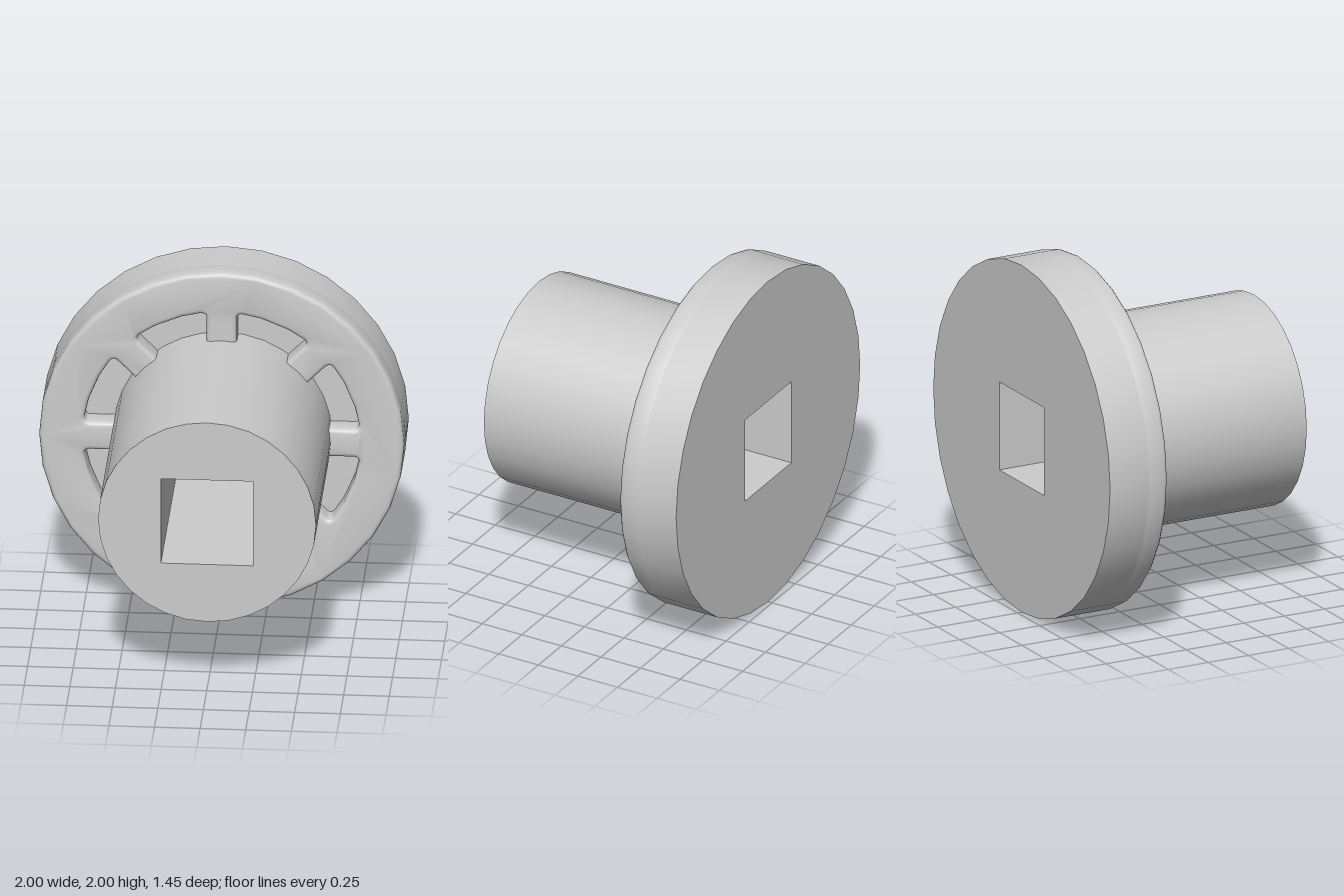
import * as THREE from 'three';
import { toCreasedNormals } from 'three/addons/utils/BufferGeometryUtils.js';

const SIDES = 32;
const BACK = -0.725, FLOOR = -0.48, FACE = -0.362, FRONT = 0.725;

const polar = (r, a) => new THREE.Vector2(r * Math.cos(a), r * Math.sin(a));

// regular polygon outline standing in for a circle
function circlePoints(r) {
  return Array.from({ length: SIDES }, (_, i) => polar(r, (i / SIDES) * Math.PI * 2));
}

function squareHole(h) {
  return new THREE.Path([[-h, -h], [-h, h], [h, h], [h, -h]].map(([x, y]) => new THREE.Vector2(x, y)));
}

// one pocket outline between two neighbouring ribs, with rounded outer corners
function pocketHole(index) {
  const outer = 0.76, inner = 0.55, halfRib = 0.083, round = 0.035;
  const sector = Math.PI / 4;
  const edge = (r) => Math.asin(halfRib / r);
  const half = [polar(inner, edge(inner))];
  const a = polar(outer - round, edge(outer - round));
  const corner = polar(outer, edge(outer));
  const b = polar(outer, edge(outer) + round / outer);
  half.push(...new THREE.QuadraticBezierCurve(a, corner, b).getPoints(5));
  half.push(polar(outer, sector * 0.37));
  // mirror about the middle of the sector
  const mirrored = half.map((p) => polar(p.length(), sector - p.angle())).reverse();
  const pts = [...half, ...mirrored].map((p) => polar(p.length(), p.angle() + index * sector));
  return new THREE.Path(pts);
}

function extrudePart(name, radius, holes, z0, z1, bevel = 0) {
  const shape = new THREE.Shape(circlePoints(radius));
  shape.holes.push(...holes);
  const geo = new THREE.ExtrudeGeometry(shape, {
    depth: z1 - z0 - 2 * bevel,
    bevelEnabled: bevel > 0,
    bevelSize: bevel,
    bevelThickness: bevel,
    bevelOffset: -bevel,
    bevelSegments: 3,
  });
  geo.translate(0, 0, z0 + bevel);
  const mesh = new THREE.Mesh(
    toCreasedNormals(geo, 0.55),
    new THREE.MeshStandardMaterial({ color: 0xcccccc })
  );
  mesh.name = name;
  mesh.position.y = 1;
  return mesh;
}

export function createModel() {
  const group = new THREE.Group();
  group.name = 'flangedHub';

  // solid disc behind the pockets
  group.add(extrudePart('flangeBack', 1, [squareHole(0.253)], BACK, FLOOR));

  // ribbed front layer; its rear bevel is sunk into the disc
  const bevel = 0.025;
  const holes = [new THREE.Path(circlePoints(0.44).reverse())];
  for (let i = 0; i < 8; i++) holes.push(pocketHole(i));
  group.add(extrudePart('flangeRibs', 1, holes, FLOOR - bevel, FACE, bevel));

  // cylindrical hub with the square bore
  group.add(extrudePart('hub', 0.597, [squareHole(0.253)], FLOOR, FRONT));

  return group;
}
